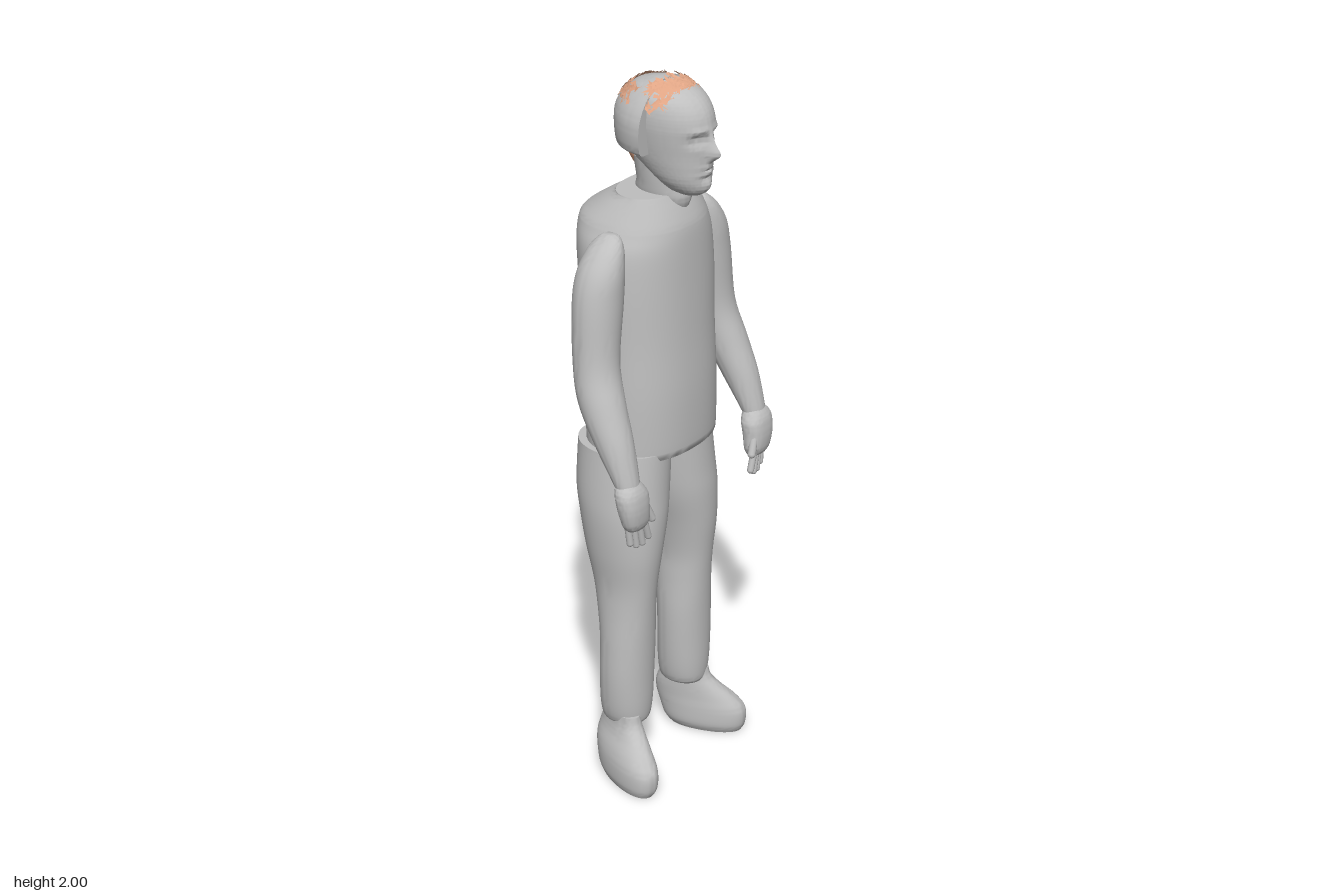
import * as THREE from 'three';
import { toCreasedNormals } from 'three/addons/utils/BufferGeometryUtils.js';

const grey = new THREE.MeshStandardMaterial({ color: 0xbfbfbf });
grey.name = 'plain grey';
const peach = new THREE.MeshStandardMaterial({ color: 0xe0a585, side: THREE.DoubleSide });
peach.name = 'hair peach';

const MID = 0.02; // centre line of head and torso

// Smooth Catmull-Rom blend of the rows of a profile
function refine(rows, steps) {
  const out = [];
  for (let i = 0; i < rows.length - 1; i++) {
    const a = rows[Math.max(i - 1, 0)], b = rows[i], c = rows[i + 1], d = rows[Math.min(i + 2, rows.length - 1)];
    for (let s = 0; s < steps; s++) {
      const t = s / steps;
      out.push(b.map((v, k) => v + 0.5 * t * (c[k] - a[k] +
        t * (2 * a[k] - 5 * v + 4 * c[k] - d[k] + t * (3 * (v - c[k]) + d[k] - a[k])))));
    }
  }
  out.push(rows[rows.length - 1]);
  return out;
}

// Solid from horizontal rings, bottom to top: [y, xMin, xMax, zBack, zFront]
function loft(rows, { segs = 40, steps = 5, power = 2, half = false, shape = null } = {}) {
  const rings = refine(rows, steps), pos = [], idx = [];
  const bend = (v) => Math.sign(v) * Math.pow(Math.abs(v), 2 / power);
  rings.forEach(([y, x0, x1, z0, z1]) => {
    for (let j = 0; j < segs; j++) {
      const t = half ? Math.PI + Math.PI * j / (segs - 1) : 2 * Math.PI * j / segs;
      const p = new THREE.Vector3((x0 + x1) / 2 + (x1 - x0) / 2 * bend(Math.cos(t)), y,
        half ? z1 + (z1 - z0) * Math.sin(t) : (z0 + z1) / 2 + (z1 - z0) / 2 * bend(Math.sin(t)));
      if (shape) shape(p);
      pos.push(p.x, p.y, p.z);
    }
  });
  for (let i = 0; i < rings.length - 1; i++) {
    for (let j = 0; j < segs; j++) {
      const a = i * segs + j, b = i * segs + (j + 1) % segs;
      idx.push(a, a + segs, b, b, a + segs, b + segs);
    }
  }
  // End caps
  [0, rings.length - 1].forEach((r, end) => {
    const [y, x0, x1, z0, z1] = rings[r], c = pos.length / 3;
    pos.push((x0 + x1) / 2, y, (z0 + z1) / 2);
    for (let j = 0; j < segs; j++) {
      const a = r * segs + j, b = r * segs + (j + 1) % segs;
      if (end) idx.push(c, b, a); else idx.push(c, a, b);
    }
  });
  const g = new THREE.BufferGeometry();
  g.setAttribute('position', new THREE.Float32BufferAttribute(pos, 3));
  g.setIndex(idx);
  return toCreasedNormals(g, 0.9);
}

const mesh = (name, geometry, material = grey) => {
  const m = new THREE.Mesh(geometry, material);
  m.name = name;
  return m;
};
const sided = (rows, s) => rows.map(([y, a, b, c, d]) => (s > 0 ? [y, a, b, c, d] : [y, -b, -a, c, d]));
const centred = (rows) => rows.map(([y, w, z0, z1]) => [y, MID - w, MID + w, z0, z1]);

// Face relief: [x offset, y, depth, x spread, y spread]
const relief = [
  [0, 1.815, 0.032, 0.013, 0.02], [0, 1.845, 0.014, 0.009, 0.025],
  [-0.033, 1.853, -0.016, 0.019, 0.013], [0.033, 1.853, -0.016, 0.019, 0.013],
  [-0.033, 1.852, 0.008, 0.011, 0.006], [0.033, 1.852, 0.008, 0.011, 0.006],
  [-0.033, 1.878, 0.005, 0.02, 0.007], [0.033, 1.878, 0.005, 0.02, 0.007],
  [0, 1.771, 0.008, 0.024, 0.014], [0, 1.771, -0.008, 0.026, 0.004],
  [0, 1.748, -0.006, 0.025, 0.007], [0, 1.725, 0.006, 0.02, 0.014],
];
function faceShape(p) {
  if (p.z < 0.06) return;
  let dz = 0;
  for (const [x, y, d, sx, sy] of relief) {
    dz += d * Math.exp(-(((p.x - MID - x) / sx) ** 2) - ((p.y - y) / sy) ** 2);
  }
  p.z += dz;
}

function buildHead() {
  const g = new THREE.Group();
  g.name = 'head';
  g.add(mesh('face', loft(centred([
    [1.698, 0.025, 0.07, 0.14], [1.712, 0.045, 0.03, 0.158], [1.74, 0.064, -0.01, 0.165],
    [1.775, 0.076, -0.05, 0.166], [1.81, 0.084, -0.08, 0.167], [1.85, 0.09, -0.092, 0.17],
    [1.885, 0.093, -0.095, 0.17], [1.92, 0.091, -0.09, 0.16], [1.95, 0.082, -0.075, 0.138],
    [1.972, 0.06, -0.05, 0.105], [1.984, 0.025, -0.01, 0.06],
  ]), { segs: 96, steps: 8, shape: faceShape })));
  g.add(mesh('neck', loft(centred([
    [1.65, 0.03, 0.02, 0.095], [1.68, 0.055, -0.05, 0.105], [1.72, 0.062, -0.05, 0.1],
    [1.78, 0.066, -0.06, 0.1],
  ]))));
  // Shell wrapped round the back of the head, cut flat in front
  g.add(mesh('backShell', loft(centred([
    [1.808, 0.105, -0.088, 0.04], [1.82, 0.121, -0.1, 0.04], [1.87, 0.125, -0.106, 0.04],
    [1.91, 0.116, -0.104, 0.04], [1.945, 0.094, -0.084, 0.04], [1.972, 0.064, -0.045, 0.04],
    [1.988, 0.025, 0.0, 0.04],
  ]), { half: true })));
  g.add(mesh('napeHair', loft(centred([
    [1.735, 0.025, -0.055, 0], [1.77, 0.045, -0.07, 0], [1.815, 0.06, -0.085, 0],
  ])), peach));
  g.add(mesh('hair', buildHair(), peach));
  return g;
}

// Tangled flat strands scattered over the skull
function buildHair() {
  let seed = 7;
  const rnd = () => (seed = (seed * 16807) % 2147483647) / 2147483647;
  const pos = [];
  const onSkull = (a, h, lift) => { // a: angle round the head, h: elevation
    const r = Math.cos(h) * (1 + lift);
    return [MID + 0.106 * r * Math.cos(a), 1.885 + 0.108 * Math.sin(h) * (1 + lift), 0.022 + 0.125 * r * Math.sin(a)];
  };
  const strand = (a, h, size) => {
    const dir = rnd() * Math.PI * 2, k = 1 / Math.max(Math.cos(h), 0.3);
    [0, 2.6, 3.7].forEach((o) => {
      const l = size * (o ? 0.7 : 1.2);
      pos.push(...onSkull(a + k * l * Math.cos(dir + o), Math.min(h + l * Math.sin(dir + o), 1.5), 0.01 + rnd() * 0.05));
    });
  };
  for (let i = 0; i < 230; i++) { // front hairline and crown
    const a = Math.PI * (0.02 + 0.96 * rnd());
    const low = 0.25 + 0.5 * Math.sin(a);
    strand(a, low + (1.15 - low) * rnd(), 0.1 + 0.14 * rnd());
  }
  for (let i = 0; i < 170; i++) { // back of the head
    strand(Math.PI * (1.12 + 0.76 * rnd()), 0.35 + 0.5 * rnd(), 0.09 + 0.13 * rnd());
  }
  for (let i = 0; i < 14; i++) strand(Math.PI / 2, 1.1 + 0.35 * rnd(), 0.15); // middle tuft
  const g = new THREE.BufferGeometry();
  g.setAttribute('position', new THREE.Float32BufferAttribute(pos, 3));
  g.computeVertexNormals();
  return g;
}

// Palm, four fingers and a thumb
function buildHand(s) {
  const g = new THREE.Group();
  g.name = s > 0 ? 'leftHand' : 'rightHand';
  g.add(mesh('palm', loft(sided([
    [0.872, 0.235, 0.3, 0.135, 0.175], [0.89, 0.225, 0.312, 0.13, 0.183], [0.93, 0.225, 0.322, 0.122, 0.186],
    [0.965, 0.225, 0.325, 0.115, 0.182], [0.985, 0.235, 0.32, 0.112, 0.175], [1.0, 0.245, 0.308, 0.11, 0.165],
  ], s), { power: 2.4 })));
  const digit = (name, from, to, r) => {
    const a = new THREE.Vector3(s * from[0], from[1], from[2]), b = new THREE.Vector3(s * to[0], to[1], to[2]);
    const m = mesh(name, new THREE.CapsuleGeometry(r, a.distanceTo(b), 6, 12));
    m.position.copy(a).lerp(b, 0.5);
    m.quaternion.setFromUnitVectors(new THREE.Vector3(0, 1, 0), b.sub(a).normalize());
    g.add(m);
  };
  for (let i = 0; i < 4; i++) {
    digit('finger', [0.248 + i * 0.016, 0.9, 0.165 - i * 0.005],
      [0.228 + i * 0.02, 0.832 - (i === 1 || i === 2 ? 0.012 : 0), 0.165 - i * 0.004], 0.0095);
  }
  digit('thumb', [0.245, 0.94, 0.165], [0.222, 0.885, 0.172], 0.011);
  return g;
}

export function createModel() {
  const model = new THREE.Group();
  model.name = 'standingMan';
  model.add(buildHead());

  model.add(mesh('torso', loft([
    [0.98, -0.178, 0.208, -0.15, 0.13], [1.0, -0.18, 0.21, -0.158, 0.136], [1.15, -0.18, 0.21, -0.162, 0.136],
    [1.3, -0.177, 0.21, -0.172, 0.128], [1.45, -0.177, 0.215, -0.182, 0.122], [1.55, -0.17, 0.208, -0.192, 0.118],
    [1.6, -0.152, 0.192, -0.196, 0.114], [1.625, -0.14, 0.18, -0.185, 0.108], [1.66, -0.118, 0.158, -0.135, 0.094],
    [1.685, -0.102, 0.142, -0.09, 0.082], [1.693, -0.098, 0.136, -0.084, 0.078],
  ], { segs: 56, power: 2.25 })));

  for (const s of [1, -1]) {
    const side = s > 0 ? 'left' : 'right';
    model.add(mesh(side + 'Arm', loft(sided([
      [0.98, 0.245, 0.308, 0.11, 0.165], [1.0, 0.24, 0.313, 0.1, 0.166], [1.1, 0.222, 0.322, 0.035, 0.142],
      [1.2, 0.204, 0.322, -0.02, 0.106], [1.3, 0.186, 0.31, -0.045, 0.075], [1.45, 0.16, 0.298, -0.058, 0.07],
      [1.53, 0.155, 0.278, -0.056, 0.068], [1.585, 0.155, 0.242, -0.042, 0.058], [1.615, 0.16, 0.208, -0.022, 0.042],
      [1.625, 0.17, 0.192, -0.005, 0.025],
    ], s))));
    model.add(buildHand(s));

    model.add(mesh(side + 'TrouserLeg', loft(sided([
      [0.165, 0.085, 0.178, -0.045, 0.07], [0.18, 0.068, 0.192, -0.053, 0.08], [0.23, 0.058, 0.202, -0.057, 0.085],
      [0.32, 0.052, 0.207, -0.056, 0.087], [0.42, 0.05, 0.204, -0.057, 0.09], [0.52, 0.054, 0.198, -0.07, 0.095],
      [0.6, 0.054, 0.197, -0.085, 0.102], [0.7, 0.036, 0.208, -0.11, 0.113], [0.8, 0.008, 0.214, -0.132, 0.117],
      [0.88, -0.008, 0.21, -0.148, 0.114], [1.0, -0.02, 0.195, -0.152, 0.11],
    ], s), { power: 2.1 })));

    // Shoe, turned outward
    const shoe = mesh(side + 'Shoe', loft(sided([
      [0, -0.042, 0.048, -0.09, 0.122], [0.025, -0.053, 0.056, -0.108, 0.133], [0.07, -0.054, 0.055, -0.122, 0.132],
      [0.105, -0.052, 0.046, -0.13, 0.105], [0.14, -0.052, 0.03, -0.128, 0.065], [0.17, -0.052, 0.022, -0.118, 0.035],
      [0.2, -0.05, 0.02, -0.11, 0.025],
    ], s), { power: 2.2 }));
    shoe.position.set(s > 0 ? 0.165 : -0.178, 0, 0.05);
    shoe.rotation.y = s * 0.35;
    model.add(shoe);
  }
  return model;
}
